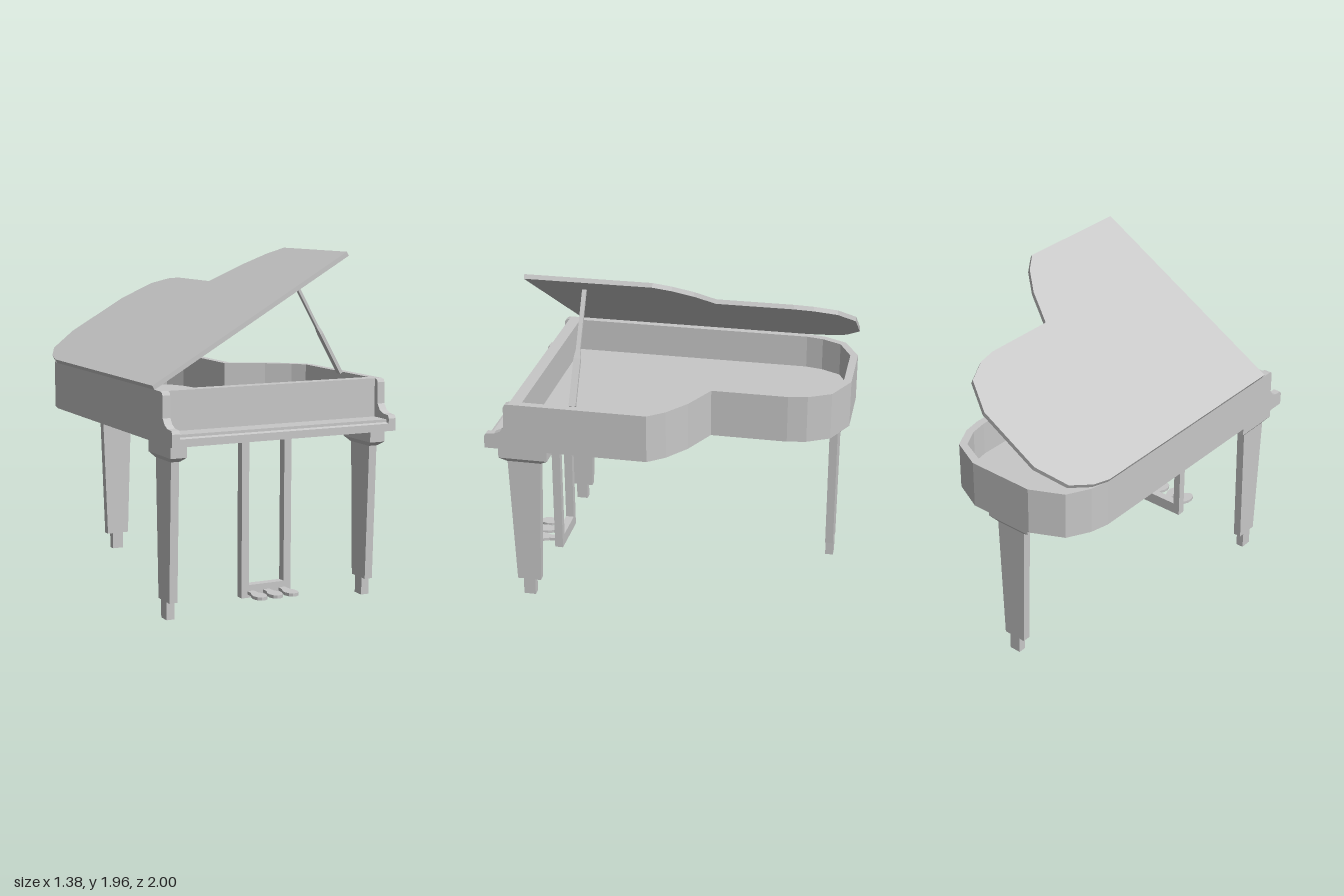
import * as THREE from 'three';

export function createModel() {
  const root = new THREE.Group();
  root.name = 'grandPiano';
  const grey = new THREE.MeshStandardMaterial({ color: 0xc8c8c8 });
  grey.name = 'plain grey';

  const add = (name, geo, parent = root) => {
    const mesh = new THREE.Mesh(geo, grey);
    mesh.name = name;
    parent.add(mesh);
    return mesh;
  };
  const box = (name, x0, x1, y0, y1, z0, z1, parent) =>
    add(name, new THREE.BoxGeometry(x1 - x0, y1 - y0, z1 - z0)
      .translate((x0 + x1) / 2, (y0 + y1) / 2, (z0 + z1) / 2), parent);

  // Box whose top and bottom have different half sizes
  const taper = (name, y0, y1, bottom, top, parent) => {
    const geo = new THREE.BoxGeometry(2, y1 - y0, 2).translate(0, (y0 + y1) / 2, 0).toNonIndexed();
    const p = geo.attributes.position;
    const mid = (y0 + y1) / 2;
    for (let i = 0; i < p.count; i++) {
      const s = p.getY(i) > mid ? top : bottom;
      p.setX(i, p.getX(i) * s[0]);
      p.setZ(i, p.getZ(i) * s[1]);
    }
    geo.computeVertexNormals();
    return add(name, geo, parent);
  };

  // Plan outlines in (x, z), extruded upwards
  const planPoints = (pts) => pts.map(([x, z]) => new THREE.Vector2(x, -z));
  const slab = (pts, y0, y1, hole) => {
    const shape = new THREE.Shape(planPoints(pts));
    if (hole) shape.holes.push(new THREE.Path(planPoints(hole)));
    return new THREE.ExtrudeGeometry(shape, { depth: y1 - y0, bevelEnabled: false })
      .rotateX(-Math.PI / 2).translate(0, y0, 0);
  };
  // Side profiles in (z, y), extruded from x0 to x1
  const sideProfile = (pts, x0, x1) =>
    new THREE.ExtrudeGeometry(new THREE.Shape(pts.map(([z, y]) => new THREE.Vector2(z, y))),
      { depth: x1 - x0, bevelEnabled: false }).rotateY(-Math.PI / 2).translate(x1, 0, 0);

  const outline = (front) => [
    [-0.68, front], [0.69, front], [0.69, 0.06], [0.615, -0.035], [0.48, -0.135], [0.28, -0.23],
    [0.28, -0.67], [0.26, -0.78], [0.19, -0.91], [0, -1],
    [-0.4, -1], [-0.585, -0.91], [-0.655, -0.78], [-0.68, -0.67],
  ];
  const inner = [
    [-0.635, 0.78], [0.645, 0.78], [0.645, 0.07], [0.585, 0], [0.455, -0.1], [0.235, -0.21],
    [0.235, -0.665], [0.217, -0.765], [0.155, -0.88], [-0.01, -0.955],
    [-0.39, -0.955], [-0.552, -0.88], [-0.613, -0.765], [-0.635, -0.665],
  ];

  // Case
  add('caseFloor', slab(outline(0.85), 0.97, 1.05));
  add('caseRim', slab(outline(0.85), 1.05, 1.25, inner));

  // Cheeks at both ends of the keyboard
  const cheek = [
    [0.85, 0.97], [1, 0.97], [1, 1.04], [0.99, 1.058], [0.94, 1.062], [0.905, 1.078],
    [0.882, 1.11], [0.88, 1.23], [0.872, 1.245], [0.85, 1.25],
  ];
  add('rightCheek', sideProfile(cheek, -0.68, -0.635));
  add('leftCheek', sideProfile(cheek, 0.645, 0.69));

  // Keybed with a stepped front edge
  add('keybed', sideProfile([
    [0.85, 0.97], [1, 0.97], [1, 1.012], [0.975, 1.018], [0.975, 1.033], [0.85, 1.033],
  ], -0.635, 0.645));

  // Open lid, hinged along the straight side
  const lid = add('lid', slab(outline(0.78), 0, 0.026).translate(0.68, 0, 0));
  lid.position.set(-0.68, 1.25, 0);
  lid.rotation.z = Math.PI / 6;

  // Lid prop, wider in its lower part
  const prop = new THREE.Group();
  prop.name = 'lidProp';
  prop.position.set(0.63, 1.245, 0.493);
  prop.rotation.z = Math.atan2(0.33, 0.575);
  root.add(prop);
  taper('propFoot', 0, 0.27, [0.01, 0.02], [0.01, 0.02], prop);
  taper('propNeck', 0.27, 0.32, [0.01, 0.02], [0.008, 0.012], prop);
  taper('propRod', 0.32, 0.665, [0.008, 0.012], [0.008, 0.012], prop);

  // Legs, wide along their local x
  const leg = (name, x, z, turn) => {
    const g = new THREE.Group();
    g.name = name;
    g.position.set(x, 0, z);
    g.rotation.y = turn;
    root.add(g);
    taper('legCap', 0.9, 0.97, [0.143, 0.047], [0.143, 0.047], g);
    taper('legCapBevel', 0.874, 0.9, [0.1, 0.027], [0.143, 0.047], g);
    taper('legShaft', 0.1, 0.874, [0.07, 0.024], [0.097, 0.024], g);
    taper('legFoot', 0, 0.1, [0.035, 0.024], [0.035, 0.024], g);
  };
  leg('frontRightLeg', -0.61, 0.787, Math.PI / 2);
  leg('frontLeftLeg', 0.617, 0.787, Math.PI / 2);
  leg('backLeg', -0.2, -0.902, 0);

  // Pedal frame
  const lyre = new THREE.Group();
  lyre.name = 'pedalFrame';
  root.add(lyre);
  box('rightPost', -0.15, -0.105, 0.05, 0.97, 0.715, 0.765, lyre);
  box('leftPost', 0.115, 0.16, 0.05, 0.97, 0.715, 0.765, lyre);
  box('crossBar', -0.105, 0.115, 0.05, 0.122, 0.715, 0.765, lyre);

  // Pedals: narrow stem widening to a rounded end
  const half = [[0.02, 0.765], [0.022, 0.81], [0.037, 0.845], [0.04, 0.875], [0.03, 0.905], [0.012, 0.92]];
  for (const cx of [-0.093, 0.005, 0.103]) {
    const pts = [...half.map(([w, z]) => [cx + w, z]),
      ...half.slice().reverse().map(([w, z]) => [cx - w, z])];
    add('pedal', slab(pts, 0.07, 0.088), lyre);
  }
  return root;
}
